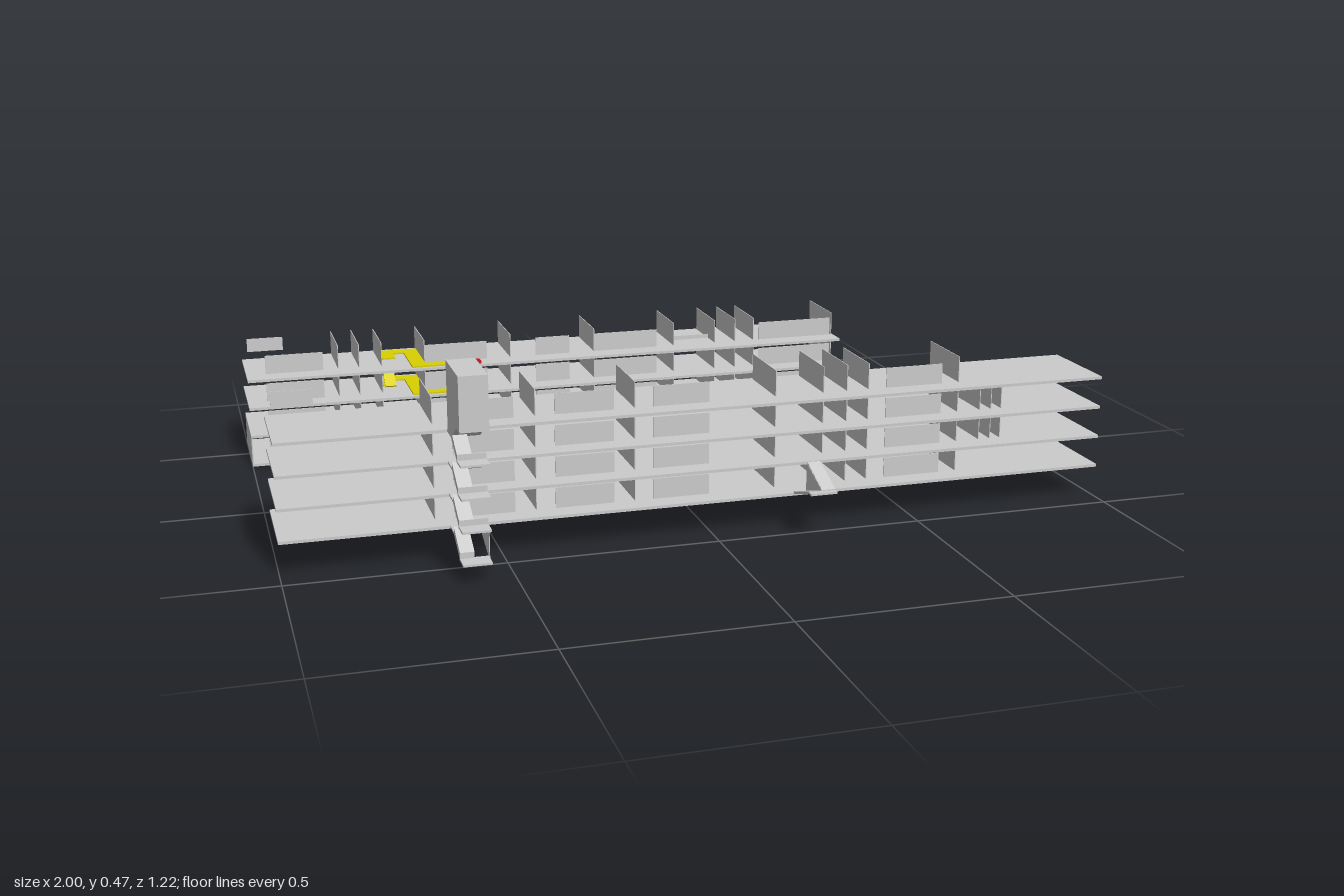
import * as THREE from 'three';

const grey = new THREE.MeshStandardMaterial({ color: 0xcccccc, flatShading: true, side: THREE.DoubleSide });
const tint = (color) => new THREE.MeshStandardMaterial({ color });
const yellow = tint(0xd8d000), red = tint(0xd01010), blue = tint(0x1010d0);

// box given by its limits on each axis
function box(parent, name, x0, x1, y0, y1, z0, z1, material = grey) {
  const mesh = new THREE.Mesh(new THREE.BoxGeometry(x1 - x0, y1 - y0, z1 - z0), material);
  mesh.position.set((x0 + x1) / 2, (y0 + y1) / 2, (z0 + z1) / 2);
  mesh.name = name;
  parent.add(mesh);
}

// side profile of [z, y] points, extruded from x0 to x1
function profile(parent, name, points, x0, x1) {
  const shape = new THREE.Shape(points.map(([z, y]) => new THREE.Vector2(z, y)));
  const geometry = new THREE.ExtrudeGeometry(shape, { depth: x1 - x0, bevelEnabled: false });
  geometry.rotateY(-Math.PI / 2).translate(x1, 0, 0);
  const mesh = new THREE.Mesh(geometry, grey);
  mesh.name = name;
  parent.add(mesh);
}

// sloping flight between two [z, y] points
function flight(parent, a, b, x0, x1, t = 0.018) {
  profile(parent, 'stairFlight', [[a[0], a[1]], [b[0], b[1]], [b[0], b[1] + t], [a[0], a[1] + t]], x0, x1);
}

// stacked floors, cross walls and facade panels of one block
function block(name, { x0, x1, z0, z1, floors, wallZ, walls, panelZ, panels, signZ }) {
  const group = new THREE.Group();
  group.name = name;
  floors.forEach((y, i) => {
    box(group, 'floorSlab', x0, x1, y, y + 0.007, z0, z1);
    for (const x of walls) box(group, 'crossWall', x - 0.001, x + 0.001, y, y + (i < 3 ? 0.076 : 0.07), ...wallZ);
    for (const [a, b] of panels) box(group, 'facadePanel', a, b, y + 0.007, y + 0.056, panelZ - 0.001, panelZ + 0.001);
    box(group, 'floorSign', -0.985, -0.89, y + 0.028, y + 0.064, signZ - 0.001, signZ + 0.001);
  });
  return group;
}

function stairTower() {
  const g = new THREE.Group();
  g.name = 'stairTower';
  const l = -0.62, m = -0.5875, r = -0.555;
  // roof housing with a sloping underside
  profile(g, 'stairHousing', [[0.46, 0.305], [0.5, 0.305], [0.57, 0.345], [0.61, 0.345], [0.61, 0.47], [0.46, 0.47]], l, r);
  // half flights with landings
  for (const y of [0.08, 0.155, 0.23, 0.305]) {
    box(g, 'floorLink', l, r, y, y + 0.005, 0.45, 0.5);
    flight(g, [0.5, y], [0.57, y - 0.037], l, m);
    if (y > 0.1) flight(g, [0.5, y - 0.075], [0.57, y - 0.037], m, r);
    box(g, 'landing', l, r, y - 0.038, y - 0.033, 0.565, 0.61);
  }
  profile(g, 'sidePanel', [[0.46, 0.08], [0.57, 0.04], [0.57, 0.115]], r, r + 0.002);
  return g;
}

function shortStair() {
  const g = new THREE.Group();
  g.name = 'shortStair';
  flight(g, [0.45, 0.08], [0.55, 0.113], 0.2, 0.2325, 0.006);
  flight(g, [0.45, 0.152], [0.55, 0.113], 0.2325, 0.265, 0.006);
  box(g, 'landing', 0.2, 0.265, 0.112, 0.117, 0.545, 0.565);
  profile(g, 'sidePanel', [[0.45, 0.08], [0.56, 0.115], [0.45, 0.155]], 0.2315, 0.2335);
  return g;
}

// coloured route marked on a floor, ending in a square marker
function route(y, endMaterial) {
  const g = new THREE.Group();
  g.name = 'routeMarking';
  const t = y + 0.004;
  box(g, 'routeStart', -0.635, -0.53, y, t, -0.585, -0.55, yellow);
  box(g, 'routeLeg', -0.57, -0.53, y, t, -0.55, -0.42, yellow);
  box(g, 'routeEnd', -0.57, -0.415, y, t, -0.42, -0.39, yellow);
  box(g, 'routeLanding', -0.635, -0.6, y, t, -0.55, -0.5, yellow);
  box(g, 'routeMarker', -0.416, -0.384, y, y + 0.006, -0.42, -0.388, endMaterial);
  return g;
}

export function createModel() {
  const model = new THREE.Group();
  model.name = 'twinBuildings';

  const front = block('frontBuilding', {
    x0: -1, x1: 1, z0: 0.226, z1: 0.452, floors: [0.077, 0.152, 0.227, 0.302],
    wallZ: [0.235, 0.4], walls: [-0.645, -0.41, -0.175, 0.17, 0.29, 0.35, 0.405, 0.64],
    panelZ: 0.4, panels: [[-0.6, -0.46], [-0.365, -0.225], [-0.13, 0.005], [0.45, 0.595]], signZ: 0.235,
  });
  // extra cross walls and sign at the far end
  for (const x of [0.7, 0.73, 0.757]) box(front, 'crossWall', x - 0.001, x + 0.001, 0.155, 0.305, 0.235, 0.4);
  box(front, 'floorSign', 0.65, 0.745, 0.105, 0.145, 0.234, 0.236);

  const back = block('backBuilding', {
    x0: -1, x1: 0.645, z0: -0.61, z1: -0.38, floors: [0, 0.077, 0.152, 0.227],
    wallZ: [-0.605, -0.435], walls: [-0.76, -0.705, -0.645, -0.53, -0.295, -0.06, 0.17, 0.29, 0.35, 0.405, 0.64],
    panelZ: -0.436, panels: [[-0.95, -0.8], [-0.53, -0.36], [-0.225, -0.13], [-0.06, 0.12], [0.42, 0.635]], signZ: -0.605,
  });
  // ground floor end wall, entrance canopy and signs
  box(back, 'endWall', -1, -0.997, 0, 0.08, -0.605, -0.385);
  box(back, 'entranceCanopy', -0.3, -0.055, 0.068, 0.084, -0.277, -0.38);
  for (const [x, y] of [[-0.6, 0.04], [-0.35, 0.04], [-0.005, 0.05]])
    box(back, 'entranceSign', x - 0.043, x + 0.043, y - 0.018, y + 0.018, -0.386, -0.384);
  // low partition in the rear rooms
  box(back, 'partition', 0.17, 0.29, 0.227, 0.245, -0.496, -0.494);

  back.add(route(0.234, red), route(0.159, blue));
  // sloping connection between the two marked floors
  const ramp = new THREE.Mesh(new THREE.BoxGeometry(0.03, 0.004, 0.12), yellow);
  ramp.name = 'routeRamp';
  ramp.position.set(-0.617, 0.197, -0.53);
  ramp.rotation.x = 0.6;
  back.add(ramp);

  model.add(front, back, stairTower(), shortStair());
  return model;
}
